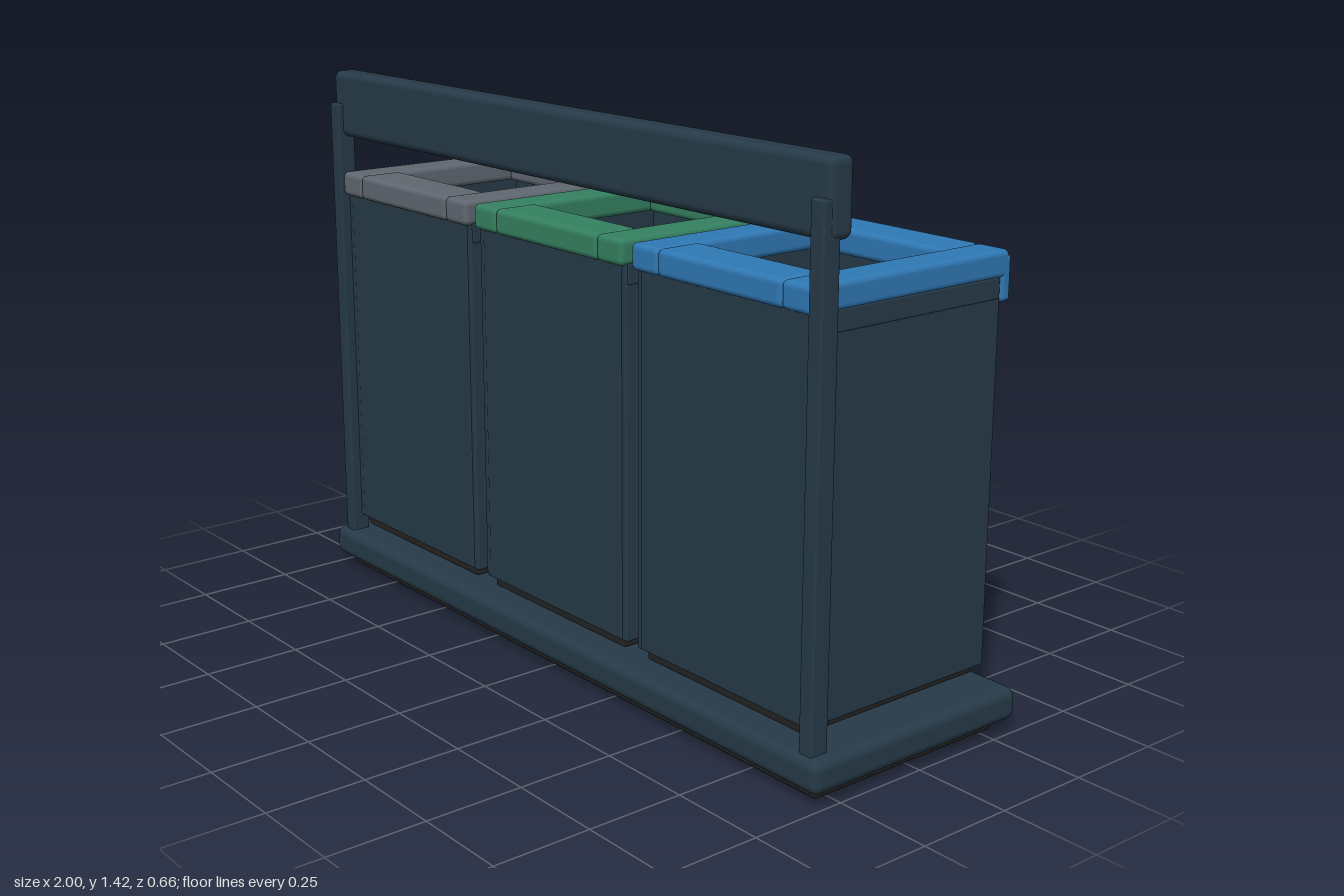
import * as THREE from 'three';
import { RoundedBoxGeometry } from 'three/addons/geometries/RoundedBoxGeometry.js';

const mat = (name, color) => {
  const m = new THREE.MeshStandardMaterial({ color });
  m.name = name;
  return m;
};

export function createModel() {
  const navy = mat('navy steel', 0x263a48);
  const black = mat('black rubber', 0x222222);
  const cream = mat('cream door', 0xc9c1af);
  const blue = mat('blue', 0x2f78b4);
  const green = mat('green', 0x348060);
  const grey = mat('grey', 0x5f6770);

  // Rounded box given by its minimum and maximum on each axis
  function box(parent, name, material, [x0, x1], [y0, y1], [z0, z1], r = 0.006) {
    const mesh = new THREE.Mesh(new RoundedBoxGeometry(x1 - x0, y1 - y0, z1 - z0, 3, r), material);
    mesh.position.set((x0 + x1) / 2, (y0 + y1) / 2, (z0 + z1) / 2);
    mesh.name = name;
    parent.add(mesh);
    return mesh;
  }

  // Thin plate standing off the door, seen from -z
  function plate(parent, name, material, points, y, z, depth = 0.006) {
    const shape = new THREE.Shape(points.map(([u, v]) => new THREE.Vector2(u, v)));
    const geo = new THREE.ExtrudeGeometry(shape, { depth, bevelEnabled: false });
    const mesh = new THREE.Mesh(geo, material);
    mesh.rotation.y = Math.PI;
    mesh.position.set(0, y, z);
    mesh.name = name;
    parent.add(mesh);
    return mesh;
  }
  const rect = (w, h) => [[-w / 2, -h / 2], [w / 2, -h / 2], [w / 2, h / 2], [-w / 2, h / 2]];

  const model = new THREE.Group();
  model.name = 'recyclingStation';

  // Base
  box(model, 'plinth', black, [-0.96, 0.96], [0, 0.04], [-0.29, 0.29], 0.012);
  box(model, 'basePlatform', navy, [-1, 1], [0.03, 0.112], [-0.328, 0.328], 0.025);
  box(model, 'baseTrimStrip', cream, [-0.95, 0.95], [0.078, 0.086], [-0.329, -0.323], 0.001);

  // Frame
  for (const s of [-1, 1]) {
    box(model, s > 0 ? 'leftPost' : 'rightPost', navy,
      [s * 0.945 - 0.021, s * 0.945 + 0.021], [0.1, 1.335], [0.26, 0.31], 0.006);
  }
  box(model, 'topRail', navy, [-0.97, 0.97], [1.245, 1.422], [0.225, 0.295], 0.02);

  // One bin with open top, coloured rim and door
  function makeBin(name, x, colour) {
    const bin = new THREE.Group();
    bin.name = name;
    bin.position.x = x;
    model.add(bin);
    box(bin, 'binFoot', black, [-0.272, 0.272], [0.13, 0.165], [-0.272, 0.272]);
    box(bin, 'binFloor', black, [-0.28, 0.28], [0.157, 0.175], [-0.275, 0.275], 0.004);
    // Walls
    for (const s of [-1, 1]) {
      box(bin, 'sideWall', navy, [s * 0.285 - 0.01, s * 0.285 + 0.01], [0.155, 1.09], [-0.285, 0.285], 0.006);
      box(bin, 'rimSide', colour, [s * 0.25 - 0.048, s * 0.25 + 0.048], [1.085, 1.15], [-0.312, 0.302], 0.014);
      box(bin, 'collar', navy, [s * 0.288 - 0.01, s * 0.288 + 0.01], [1.04, 1.09], [-0.28, 0.28], 0.004);
    }
    box(bin, 'backWall', navy, [-0.278, 0.278], [0.157, 1.09], [0.267, 0.287], 0.005);
    box(bin, 'frontWall', navy, [-0.278, 0.278], [0.157, 1.09], [-0.285, -0.265], 0.005);
    // Rim
    box(bin, 'rimFront', colour, [-0.205, 0.205], [1.085, 1.15], [-0.312, -0.19], 0.014);
    box(bin, 'rimBack', colour, [-0.205, 0.205], [1.085, 1.15], [0.178, 0.302], 0.014);
    box(bin, 'rimLip', colour, [-0.298, 0.298], [1.03, 1.14], [-0.316, -0.286], 0.01);
    // Door
    box(bin, 'door', cream, [-0.27, 0.27], [0.2, 1.04], [-0.313, -0.283], 0.008);
    box(bin, 'doorSlot', black, [-0.2, -0.14], [0.945, 0.965], [-0.319, -0.311], 0.003);
    return bin;
  }

  const blueBin = makeBin('blueBin', 0.63, blue);
  const greenBin = makeBin('greenBin', 0, green);
  const greyBin = makeBin('greyBin', -0.63, grey);
  const zIcon = -0.313, zBand = -0.319;

  // Bottle sign
  plate(blueBin, 'bottleSign', blue, [
    [-0.054, -0.12], [0.054, -0.12], [0.054, 0.02], [0.03, 0.06],
    [0.03, 0.125], [-0.03, 0.125], [-0.03, 0.06], [-0.054, 0.02],
  ], 0.65, zIcon);
  plate(blueBin, 'bottleLabel', cream, rect(0.1, 0.022), 0.622, zBand, 0.005);

  // Leaf sign
  plate(greenBin, 'leafSign', green, [
    [0.108, 0.122], [0.102, 0.04], [0.06, -0.046], [-0.02, -0.1], [-0.086, -0.105],
    [-0.115, -0.05], [-0.1, 0.025], [-0.036, 0.082], [0.03, 0.108],
  ].reverse(), 0.65, zIcon);
  const vein = plate(greenBin, 'leafVein', cream, rect(0.19, 0.014), 0.655, zBand, 0.007);
  vein.geometry.rotateZ(0.8);

  // Sack sign
  plate(greyBin, 'sackSign', grey, [
    [-0.068, -0.11], [0.068, -0.11], [0.102, -0.08], [0.082, 0.02], [0.028, 0.085],
    [0.047, 0.127], [-0.047, 0.127], [-0.028, 0.085], [-0.082, 0.02], [-0.102, -0.08],
  ], 0.64, zIcon);
  plate(greyBin, 'sackTie', cream, rect(0.075, 0.014), 0.727, zBand, 0.005);

  return model;
}
